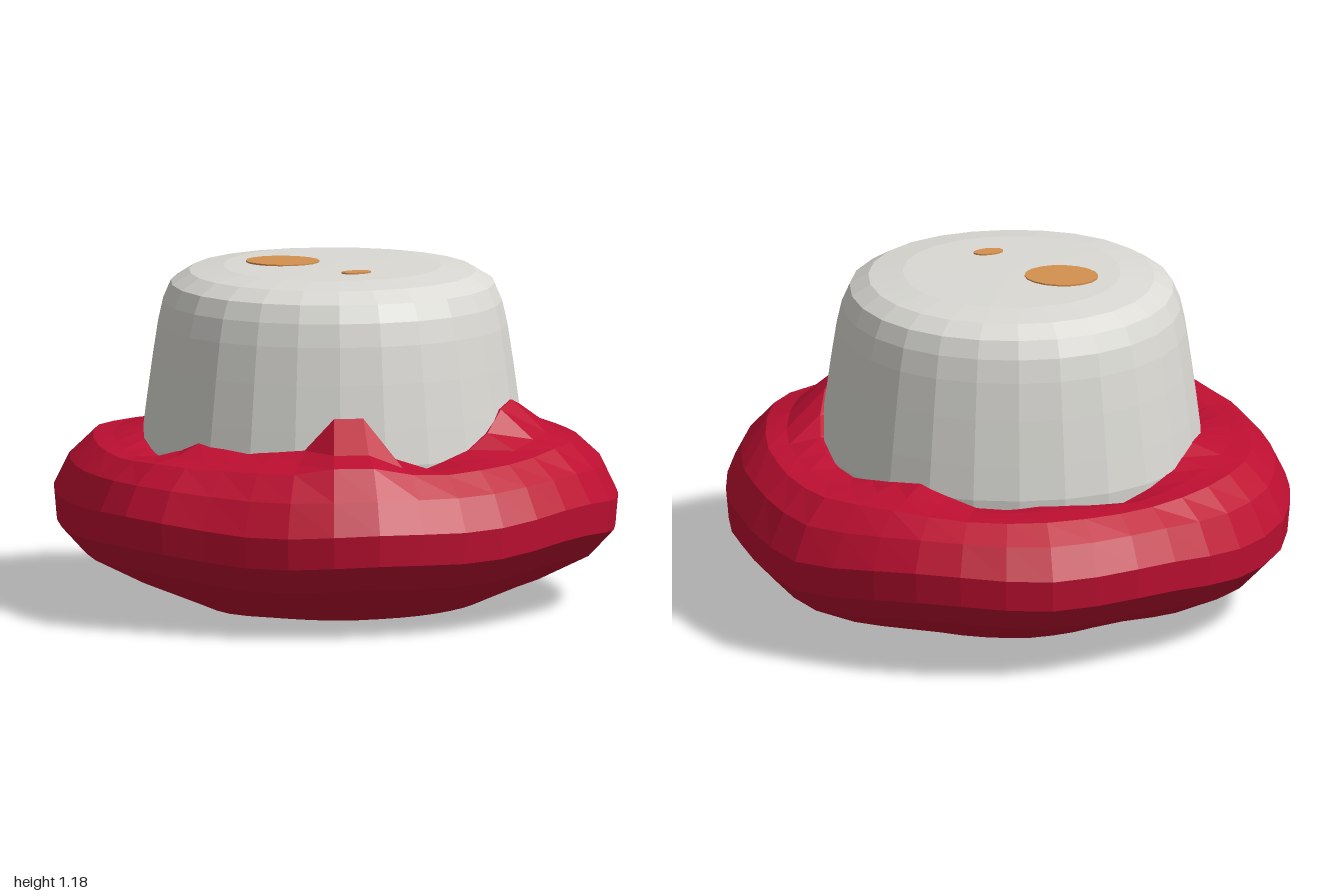
import * as THREE from 'three';

const DEG = Math.PI / 180;

// Linear interpolation round the circle in a list of [degrees, value]; 0 degrees is +x, 90 is +z
function around(table, deg) {
  const pts = [...table, [360, table[0][1]]];
  for (let i = 0; i < pts.length - 1; i++) {
    const [a, va] = pts[i], [b, vb] = pts[i + 1];
    if (deg <= b) return va + (vb - va) * (deg - a) / (b - a);
  }
  return pts[0][1];
}

// Loft of closed rings, ordered from the bottom centre up; point(i, degrees) gives [radius, y]
function loft(ringCount, segments, point) {
  const pos = [], index = [];
  for (let i = 0; i < ringCount; i++) {
    for (let j = 0; j < segments; j++) {
      const deg = j * 360 / segments;
      const [r, y] = point(i, deg);
      pos.push(r * Math.cos(deg * DEG), y, r * Math.sin(deg * DEG));
    }
  }
  for (let i = 0; i < ringCount - 1; i++) {
    for (let j = 0; j < segments; j++) {
      const k = (j + 1) % segments;
      const a = i * segments + j, b = a + segments;
      const d = i * segments + k, c = d + segments;
      index.push(a, b, c, a, c, d);
    }
  }
  const g = new THREE.BufferGeometry();
  g.setAttribute('position', new THREE.Float32BufferAttribute(pos, 3));
  g.setIndex(index);
  g.computeVertexNormals();
  return g;
}

export function createModel() {
  const material = (name, color) => {
    const m = new THREE.MeshStandardMaterial({ color, flatShading: true });
    m.name = name;
    return m;
  };
  const red = material('crimson', 0xbe0f31);
  const grey = material('pale grey', 0xdad9d4);
  const orange = material('orange', 0xd4914f);

  const model = new THREE.Group();
  model.name = 'hat';
  const add = (name, geometry, mat) => {
    const mesh = new THREE.Mesh(geometry, mat);
    mesh.name = name;
    model.add(mesh);
    return mesh;
  };

  // Uneven outline of the brim
  const outline = [[0, 1], [17, 0.99], [38, 1], [54, 1.01], [67, 1.03], [79, 1.02], [96, 0.985],
    [113, 1.03], [123, 1.01], [137, 0.965], [159, 0.965], [180, 1], [198, 0.995], [216, 0.99],
    [230, 1.01], [244, 1.03], [258, 1.02], [282, 1.02], [297, 1.04], [308, 1.01], [322, 0.98], [345, 0.98]];
  // Height at which the brim meets the crown, with two folds rising against it
  const contact = [[0, 0.73], [9, 0.71], [22, 0.61], [45, 0.54], [54, 0.59], [63, 0.73], [72, 0.73],
    [81, 0.62], [99, 0.6], [117, 0.62], [135, 0.54], [153, 0.58], [180, 0.62], [216, 0.51],
    [240, 0.54], [258, 0.52], [280, 0.6], [310, 0.54], [335, 0.6], [351, 0.7]];

  // Puffy brim
  const brim = loft(12, 40, (i, deg) => {
    const h = around(contact, deg), o = around(outline, deg);
    const t = deg * DEG;
    const wave = 0.014 * Math.sin(3 * t + 1) + 0.01 * Math.sin(7 * t);
    return [
      [0, 0],
      [0.5 * o, 0.004],
      [0.72 * o, 0.088 + wave],
      [0.9 * o, 0.175 + wave],
      [0.99 * o, 0.27 + wave],
      [o, 0.38 + wave],
      [0.945 * o, 0.49 + wave * 0.6],
      [0.86 * o, 0.2 * h + 0.445],
      [0.77, 0.35 * h + 0.365],
      [0.665 - (h - 0.55) * 0.12, h],
      [0.55, h - 0.02],
      [0.5, 0.4],
    ][i];
  });
  add('brim', brim, red);

  // Tapered crown with a softly rounded flat top
  const crownProfile = [[0.655, 0.42], [0.667, 0.56], [0.652, 0.68], [0.63, 0.84], [0.61, 0.97],
    [0.592, 1.05], [0.565, 1.112], [0.5, 1.152], [0.38, 1.17], [0, 1.173]];
  const crown = loft(crownProfile.length, 26, (i, deg) => {
    const [r, y] = crownProfile[i];
    const t = deg * DEG;
    return [r * (1 + 0.008 * Math.sin(4 * t) + 0.006 * Math.cos(3 * t)), y];
  });
  add('crown', crown, grey).position.set(-0.012, 0, -0.005);

  // Thin painted spots on the top
  const spot = (name, x, z, rx, rz, turn) => {
    const mesh = add(name, new THREE.CylinderGeometry(1, 1, 0.008, 18), orange);
    mesh.scale.set(rx, 1, rz);
    mesh.rotation.y = turn;
    mesh.position.set(x, 1.1725, z);
  };
  spot('largeSpot', -0.19, 0, 0.128, 0.105, 0.2);
  spot('smallSpot', 0.13, 0.16, 0.053, 0.03, 0.65);

  return model;
}
